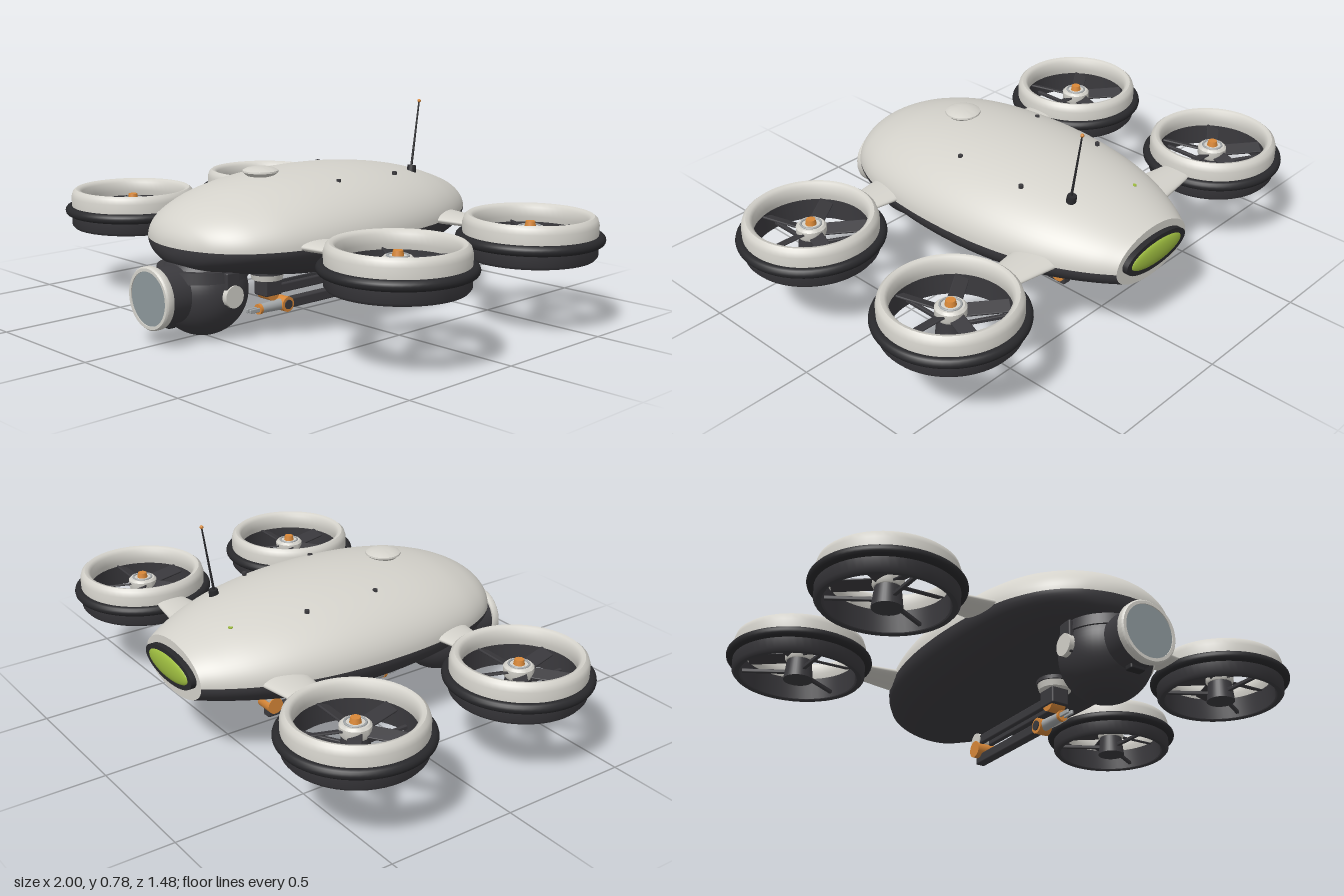
import * as THREE from 'three';
import { toCreasedNormals } from 'three/addons/utils/BufferGeometryUtils.js';
import { RoundedBoxGeometry } from 'three/addons/geometries/RoundedBoxGeometry.js';

const paint = (name, color) => {
  const m = new THREE.MeshStandardMaterial({ color });
  m.name = name;
  return m;
};
const M = {
  shell: paint('shell', 0xd4d2cb),
  dark: paint('charcoal', 0x3b3a3e),
  black: paint('rubber', 0x29292c),
  glass: paint('lensGlass', 0x8c979b),
  steel: paint('steel', 0xa3a7a9),
  green: paint('greenLight', 0x9cbb3f),
  orange: paint('orange', 0xd98838),
};

function add(parent, name, geometry, material, x = 0, y = 0, z = 0) {
  const mesh = new THREE.Mesh(geometry, material);
  mesh.name = name;
  mesh.position.set(x, y, z);
  parent.add(mesh);
  return mesh;
}
function part(parent, name, x = 0, y = 0, z = 0) {
  const g = new THREE.Group();
  g.name = name;
  g.position.set(x, y, z);
  parent.add(g);
  return g;
}
const cyl = (r0, r1, h, n = 32) => new THREE.CylinderGeometry(r0, r1, h, n);
const cylX = (r, h) => cyl(r, r, h).rotateZ(Math.PI / 2);
const cylZ = (front, back, h, n = 32) => cyl(front, back, h, n).rotateX(Math.PI / 2);
const box = (w, h, d, r = 0.006) => new RoundedBoxGeometry(w, h, d, 2, r);
const lathe = (pts, n = 56) =>
  toCreasedNormals(new THREE.LatheGeometry(pts.map(p => new THREE.Vector2(...p)), n), 0.7);

// Hull stations: z, half width, top, bottom
const SEAM = 0.338;
const STATIONS = [
  [0.638, 0, 0.338, 0.338], [0.633, 0.06, 0.37, 0.305], [0.618, 0.12, 0.4, 0.277],
  [0.59, 0.185, 0.43, 0.256], [0.54, 0.25, 0.462, 0.241], [0.47, 0.302, 0.492, 0.228],
  [0.36, 0.35, 0.524, 0.21], [0.2, 0.383, 0.549, 0.185], [0, 0.396, 0.56, 0.171],
  [-0.2, 0.387, 0.555, 0.171], [-0.38, 0.355, 0.535, 0.186], [-0.52, 0.307, 0.507, 0.208],
  [-0.63, 0.25, 0.474, 0.227], [-0.71, 0.195, 0.445, 0.242],
];
const spline = f => new THREE.CatmullRomCurve3(STATIONS.map(f), false, 'catmullrom', 0.5);
const sizes = spline(s => new THREE.Vector3(s[1], s[2], s[3]));
const depths = spline(s => new THREE.Vector3(s[0], 0, 0));

function hullPoint(t, a) {
  const s = sizes.getPoint(t), sin = Math.sin(a);
  const height = sin > 0 ? s.y - SEAM : SEAM - s.z;
  return [s.x * Math.cos(a), SEAM + height * sin, depths.getPoint(t).x];
}
function hullHalf(start) {
  const rows = 64, cols = 40, pos = [], idx = [];
  for (let i = 0; i <= rows; i++)
    for (let j = 0; j <= cols; j++) pos.push(...hullPoint(i / rows, start + Math.PI * j / cols));
  for (let i = 0; i < rows; i++)
    for (let j = 0; j < cols; j++) {
      const a = i * (cols + 1) + j, b = a + cols + 1;
      idx.push(a, b, b + 1, a, b + 1, a + 1);
    }
  const g = new THREE.BufferGeometry();
  g.setAttribute('position', new THREE.Float32BufferAttribute(pos, 3));
  g.setIndex(idx);
  g.computeVertexNormals();
  return g;
}

function buildBody(root) {
  const body = part(root, 'body');
  add(body, 'upperShell', hullHalf(0), M.shell);
  add(body, 'lowerShell', hullHalf(Math.PI), M.dark);
  // Flat tail with oval light
  const outline = [];
  for (let i = 0; i < 64; i++) {
    const [x, y] = hullPoint(1, i / 32 * Math.PI);
    outline.push(new THREE.Vector2(x, y));
  }
  add(body, 'tailPlate', new THREE.ShapeGeometry(new THREE.Shape(outline)).rotateY(Math.PI), M.shell, 0, 0, -0.71);
  add(body, 'tailLightFrame', cylZ(1, 1, 0.03, 48), M.black, 0, 0.35, -0.716).scale.set(0.165, 0.062, 1);
  add(body, 'tailLight', new THREE.SphereGeometry(1, 40, 20), M.green, 0, 0.35, -0.729).scale.set(0.14, 0.045, 0.016);
  // Top dome, fasteners and status light
  add(body, 'topDome', lathe([[0.05, 0], [0.067, 0.014], [0.066, 0.02], [0.05, 0.028], [0.025, 0.032], [0, 0.033]], 40),
    M.shell, 0, 0.544, 0.215);
  for (const x of [-0.21, 0.21])
    for (const z of [-0.28, 0.02]) add(body, 'fastener', cyl(0.009, 0.009, 0.012, 12), M.dark, x, z < 0 ? 0.522 : 0.526, z);
  add(body, 'statusLight', cyl(0.009, 0.009, 0.012, 12), M.green, -0.11, 0.487, -0.535);
  // Antenna
  const antenna = part(body, 'antenna', 0.14, 0.5, -0.45);
  add(antenna, 'antennaBase', cyl(0.017, 0.02, 0.035, 20), M.black, 0, 0.01, -0.003);
  add(antenna, 'antennaRod', cyl(0.003, 0.005, 0.28, 10), M.black, 0, 0.14, 0);
  add(antenna, 'antennaTip', new THREE.SphereGeometry(0.007, 12, 8), M.orange, 0, 0.281, 0);
  antenna.rotation.x = -0.155;
}

function buildRotor(root, side, z) {
  const rotor = part(root, 'rotor', side * 0.728, 0, z);
  add(rotor, 'ductLip', lathe([[0.245, 0.335], [0.246, 0.385], [0.24, 0.405], [0.228, 0.415], [0.215, 0.412],
    [0.205, 0.4], [0.203, 0.365], [0.21, 0.335]]), M.shell);
  add(rotor, 'duct', lathe([[0.21, 0.37], [0.21, 0.28], [0.218, 0.262], [0.235, 0.26], [0.245, 0.272],
    [0.246, 0.335], [0.21, 0.337]].concat([])), M.dark).material = M.dark;
  add(rotor, 'ductInnerWall', lathe([[0.207, 0.365], [0.21, 0.262]]), M.dark);
  add(rotor, 'bumper', new THREE.TorusGeometry(0.252, 0.019, 14, 64).rotateX(Math.PI / 2), M.black, 0, 0.33, 0);
  // Motor, hub and cap
  add(rotor, 'motor', cyl(0.045, 0.055, 0.085), M.dark, 0, 0.293, 0);
  add(rotor, 'hub', lathe([[0, 0.325], [0.05, 0.325], [0.055, 0.335], [0.055, 0.362], [0.047, 0.37], [0, 0.37]], 36), M.shell);
  add(rotor, 'hubRing', new THREE.TorusGeometry(0.036, 0.004, 8, 32).rotateX(Math.PI / 2), M.steel, 0, 0.371, 0);
  add(rotor, 'hubCap', cyl(0.017, 0.021, 0.022, 24), M.orange, 0, 0.378, 0);
  // Pitched blades and support struts
  for (let i = 0; i < 5; i++) {
    const spin = part(rotor, 'blade', 0, 0.343, 0);
    spin.rotation.y = THREE.MathUtils.degToRad(70 + 72 * i);
    add(spin, 'bladePanel', box(0.155, 0.008, 0.052, 0.003), M.dark, 0.12, 0, 0).rotation.x = 0.4;
  }
  for (let i = 0; i < 3; i++) {
    const arm = part(rotor, 'strut', 0, 0.283, 0);
    arm.rotation.y = i * Math.PI * 2 / 3 + Math.PI / 6;
    add(arm, 'strutBar', box(0.18, 0.014, 0.014, 0.003), M.dark, 0.13, 0, 0);
  }
  // Tapered boom between hull and duct
  const boom = add(root, 'boom', cyl(0.06, 0.088, 0.18, 32), M.shell, side * 0.405, 0.347, z);
  boom.rotation.z = -side * Math.PI / 2;
  boom.scale.x = 0.27;
}

function buildCamera(root) {
  const cam = part(root, 'cameraTurret', 0, 0.165, 0.495);
  add(cam, 'turretBall', new THREE.SphereGeometry(0.165, 48, 32), M.dark);
  add(cam, 'turretCollar', cyl(0.16, 0.165, 0.04, 48), M.dark, 0, 0.073, 0);
  for (const s of [-1, 1]) {
    add(cam, 'yokeArm', box(0.022, 0.12, 0.06), M.dark, s * 0.163, 0.03, 0);
    add(cam, 'yokeDisc', cylX(0.04, 0.022), M.shell, s * 0.169, 0.003, 0);
  }
  // Lens barrel
  add(cam, 'lensBarrel', cylZ(0.103, 0.103, 0.15, 48), M.dark, 0, 0.005, 0.143);
  add(cam, 'lensRim', lathe([[0.097, 0.032], [0.097, 0], [0.11, 0], [0.113, 0.006], [0.113, 0.026], [0.108, 0.032],
    [0.097, 0.032]], 48).rotateX(Math.PI / 2), M.shell, 0, 0.005, 0.21);
  add(cam, 'lensGlass', cylZ(0.098, 0.098, 0.02, 48), M.glass, 0, 0.005, 0.228);
  add(cam, 'sensorBlock', box(0.06, 0.045, 0.035), M.black, 0, -0.088, 0.158);
}

function buildArm(root) {
  const arm = part(root, 'foldedArm');
  // Shoulder mount
  add(arm, 'mountPlate', cyl(0.068, 0.068, 0.014), M.dark, 0, 0.181, 0.185);
  add(arm, 'mountDisc', cyl(0.064, 0.058, 0.022), M.shell, 0, 0.162, 0.185);
  add(arm, 'shoulder', box(0.07, 0.065, 0.08), M.dark, 0, 0.122, 0.18);
  add(arm, 'shoulderJoint', cylX(0.03, 0.06), M.orange, 0, 0.1, 0.18);
  // Twin upper bars and forearm
  for (const s of [-1, 1]) add(arm, 'upperBar', box(0.02, 0.036, 0.47), M.dark, s * 0.02, 0.11, -0.08);
  add(arm, 'upperSpine', box(0.03, 0.014, 0.44, 0.004), M.black, 0, 0.122, -0.08);
  add(arm, 'forearm', box(0.038, 0.038, 0.43), M.dark, 0, 0.04, -0.115);
  // Elbow
  add(arm, 'elbowHousing', cylX(0.03, 0.066), M.shell, 0, 0.11, -0.31);
  add(arm, 'elbowJoint', cylX(0.032, 0.076), M.orange, 0, 0.075, -0.31);
  // Wrist and gripper
  add(arm, 'wristJoint', cylX(0.029, 0.05), M.orange, 0, 0.04, 0.1);
  add(arm, 'wristCap', cylX(0.018, 0.058), M.dark, 0, 0.04, 0.1);
  add(arm, 'toolBody', cylZ(0.017, 0.022, 0.13), M.steel, 0, 0.04, 0.165);
  add(arm, 'toolBand', cylZ(0.02, 0.02, 0.012), M.orange, 0, 0.04, 0.226);
  for (const s of [-1, 1]) add(arm, 'toolFinger', box(0.009, 0.016, 0.05, 0.003), M.steel, s * 0.009, 0.04, 0.255);
}

export function createModel() {
  const root = new THREE.Group();
  root.name = 'quadRotorDrone';
  buildBody(root);
  for (const side of [-1, 1])
    for (const z of [-0.447, 0.262]) buildRotor(root, side, z);
  buildCamera(root);
  buildArm(root);
  return root;
}
